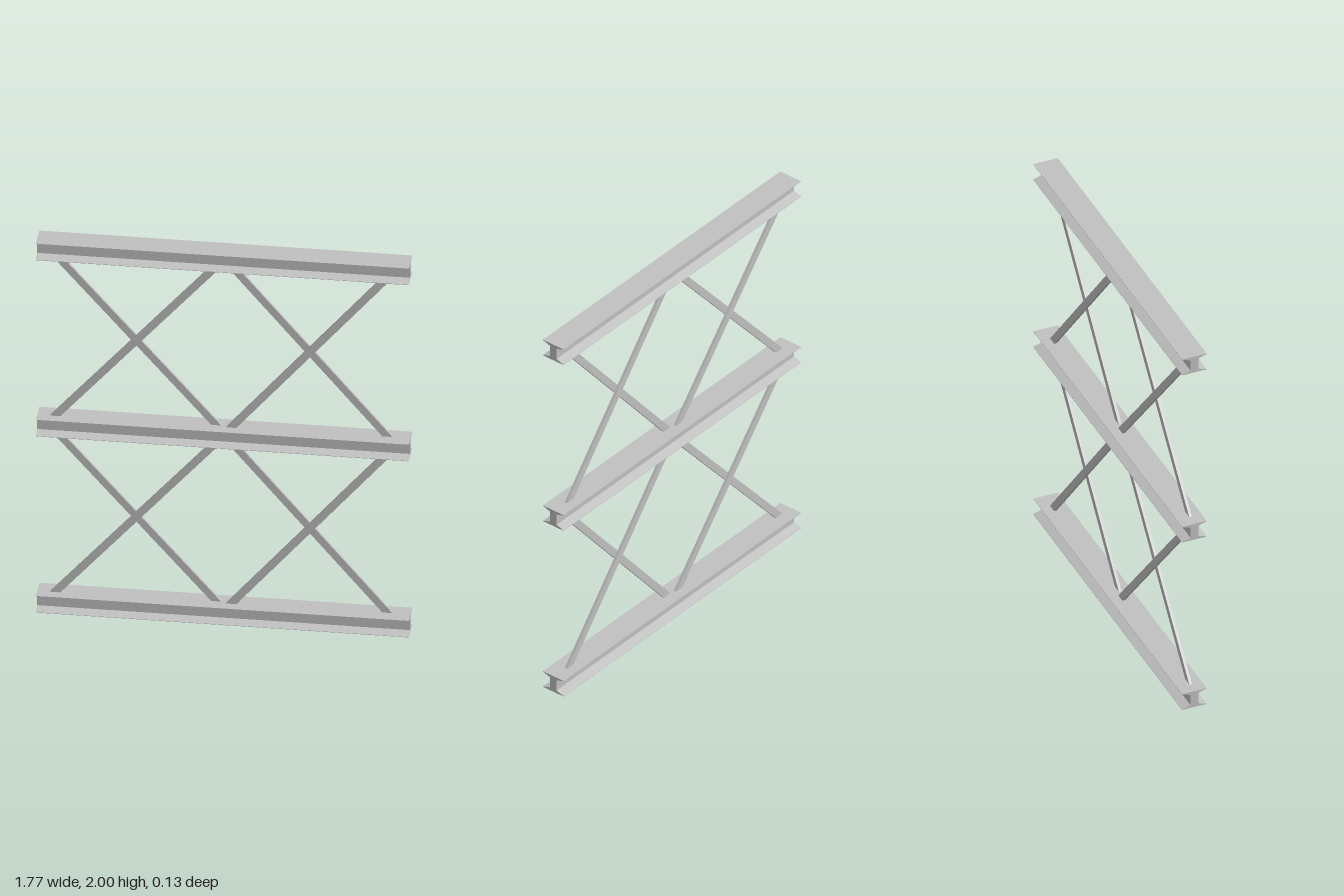
import * as THREE from 'three';

const LENGTH = 1.77, BEAM_H = 0.09, LEVELS = [0, 0.955, 1.91];

// Extruded I-section with tapered flanges, running along x
function beamGeometry() {
  const flange = 0.063, web = 0.02, tip = 0.002, root = 0.016;
  const half = [[flange, 0], [flange, tip], [web, root],
    [web, BEAM_H - root], [flange, BEAM_H - tip], [flange, BEAM_H]];
  const mirrored = half.map(([z, y]) => [-z, y]).reverse();
  const shape = new THREE.Shape([...half, ...mirrored].map(([z, y]) => new THREE.Vector2(z, y)));
  const geometry = new THREE.ExtrudeGeometry(shape, { depth: LENGTH, bevelEnabled: false });
  geometry.translate(0, 0, -LENGTH / 2);
  geometry.rotateY(Math.PI / 2);
  return geometry;
}

// Flat diagonal bar whose ends are cut level with the beams
function braceGeometry(xBottom, xTop, y0, y1, z0, depth) {
  const w = 0.024;
  const shape = new THREE.Shape([
    new THREE.Vector2(xBottom - w, y0), new THREE.Vector2(xBottom + w, y0),
    new THREE.Vector2(xTop + w, y1), new THREE.Vector2(xTop - w, y1)]);
  const geometry = new THREE.ExtrudeGeometry(shape, { depth, bevelEnabled: false });
  geometry.translate(0, 0, z0);
  return geometry;
}

export function createModel() {
  const model = new THREE.Group();
  model.name = 'trussFrame';
  const steel = new THREE.MeshStandardMaterial({ color: 0xc0c0c0 });
  steel.name = 'grey steel';

  const add = (name, geometry, y = 0) => {
    const mesh = new THREE.Mesh(geometry, steel);
    mesh.name = name;
    mesh.position.y = y;
    model.add(mesh);
  };

  // Three horizontal beams
  const beam = beamGeometry();
  ['bottomBeam', 'middleBeam', 'topBeam'].forEach((name, i) => add(name, beam, LEVELS[i]));

  // Crossed braces, two bays per storey, laid side by side in depth
  const bays = [['right', -0.802, -0.034], ['left', 0.034, 0.778]];
  const thick = 0.014, sink = 0.003;
  ['lower', 'upper'].forEach((storey, i) => {
    const y0 = LEVELS[i] + BEAM_H - sink, y1 = LEVELS[i + 1] + sink;
    for (const [side, a, b] of bays) {
      add(`${storey} ${side} front brace`, braceGeometry(a, b, y0, y1, 0, thick));
      add(`${storey} ${side} back brace`, braceGeometry(b, a, y0, y1, -thick, thick));
    }
  });
  return model;
}
